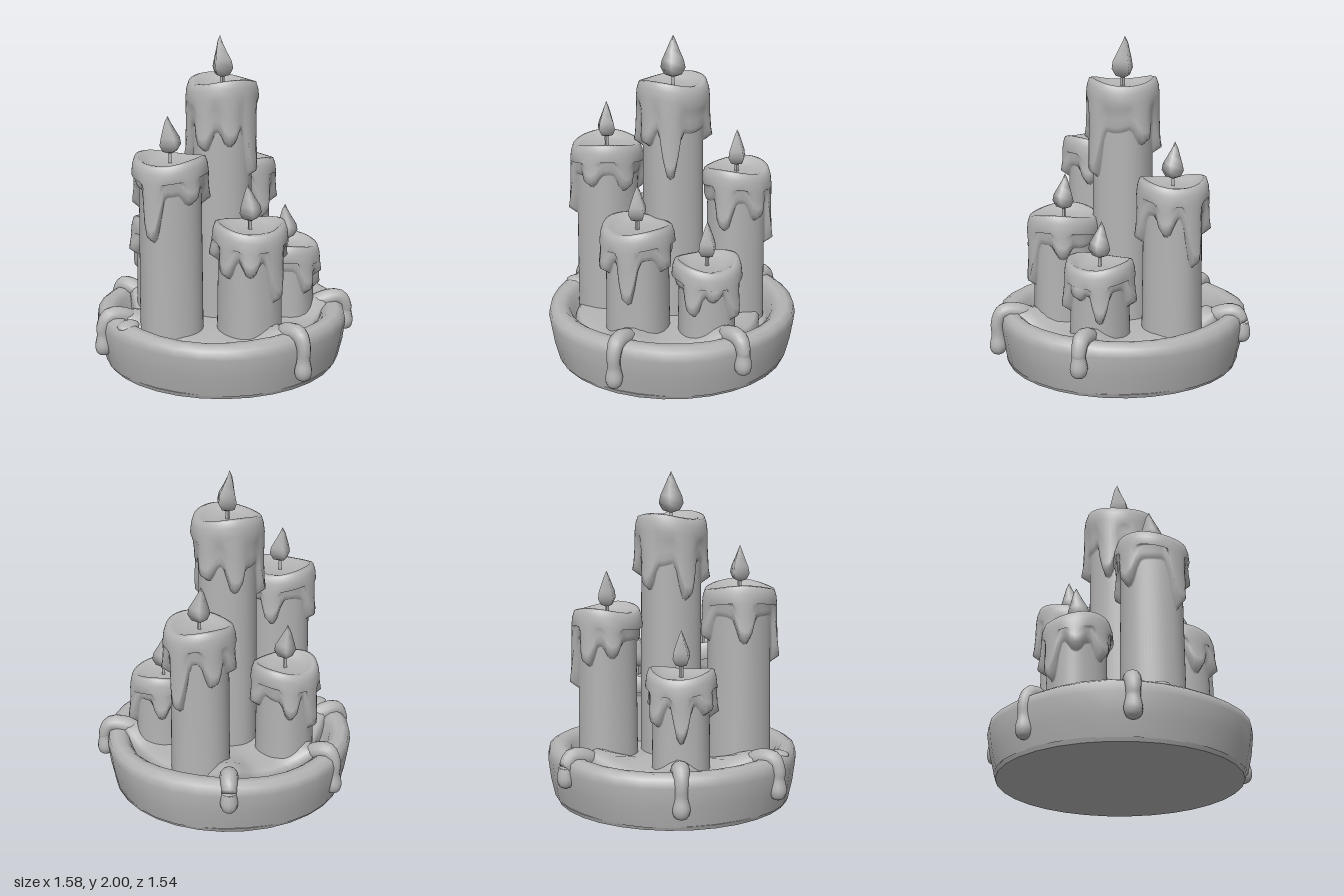
import * as THREE from 'three';

const wax = new THREE.MeshStandardMaterial({ color: 0xb4b4b4 });
wax.name = 'grey wax';
const TAU = Math.PI * 2;

// Smooth surface from closed rings; point(i, a) gives [x, y, z] on ring i at angle a.
function rings(name, rows, sides, point) {
  const pos = [], idx = [];
  for (let i = 0; i < rows; i++)
    for (let j = 0; j < sides; j++) pos.push(...point(i, (j / sides) * TAU));
  for (let i = 0; i < rows - 1; i++)
    for (let j = 0; j < sides; j++) {
      const k = (j + 1) % sides;
      const a = i * sides + j, b = i * sides + k, c = a + sides, d = b + sides;
      idx.push(a, b, c, b, d, c);
    }
  const geo = new THREE.BufferGeometry();
  geo.setAttribute('position', new THREE.Float32BufferAttribute(pos, 3));
  geo.setIndex(idx);
  geo.computeVertexNormals();
  const mesh = new THREE.Mesh(geo, wax);
  mesh.name = name;
  return mesh;
}

const angleGap = (a, b) => Math.abs(Math.atan2(Math.sin(a - b), Math.cos(a - b)));
const bump = (a, at, width, power = 2) => Math.exp(-Math.pow(angleGap(a, at) / width, power));

// Candle body with a thicker melted cap whose hem drops into runs: [degrees, lowest y].
function candleBody({ top, cap, body, hem, runs }, phase) {
  return rings('candleWax', 13, 60, (i, a) => {
    let low = hem + 0.025 * Math.sin(3 * a + phase), drip = 0;
    for (const [deg, y] of runs) {
      const w = bump(a, deg * Math.PI / 180, 0.27, 3);
      low = Math.min(low, hem + (y - hem) * w);
      drip = Math.max(drip, w);
    }
    const rim = top - 0.01 + 0.018 * Math.sin(2 * a + phase);
    const r = body * (1 + 0.02 * Math.sin(4 * a + phase));
    const swell = r + 0.022 + 0.025 * drip;
    const [radius, y] = [
      [0, top - 0.045],
      [cap * 0.5, top - 0.045],
      [cap * 0.72, top - 0.03],
      [cap * 0.84, rim],
      [cap * 0.94, rim - 0.005],
      [cap, rim - 0.045],
      [cap + 0.006, rim - 0.1],
      [(cap + swell) / 2, (rim + low) / 2],
      [swell, low + 0.08],
      [swell + 0.008 * drip, low + 0.035],
      [r + 0.012, low + 0.004],
      [r, low - 0.004],
      [r * 1.04, 0.2],
    ][i];
    return [radius * Math.cos(a), y, radius * Math.sin(a)];
  });
}

// Four-sided flame with a curled tip, standing on a square wick.
function flame(bottom, height, width, turn) {
  const g = new THREE.Group();
  g.name = 'flame';
  const profile = [[0, 0, 0], [0.7, 0.07, 0], [1, 0.24, 0.05], [0.88, 0.42, 0.05],
    [0.55, 0.64, -0.1], [0.26, 0.84, -0.22], [0, 1, -0.2]].reverse();
  g.add(rings('flameTongue', profile.length, 4, (i, a) => {
    const [r, t, lean] = profile[i];
    const b = a + turn + 0.25 * t;
    return [width * (r * Math.cos(b) + lean), bottom + t * height, width * r * Math.sin(b)];
  }));
  const wick = new THREE.Mesh(new THREE.BoxGeometry(0.018, 0.11, 0.018), wax);
  wick.name = 'wick';
  wick.position.y = bottom - 0.025;
  wick.rotation.y = turn;
  g.add(wick);
  return g;
}

// Run of wax over the dish rim; path points are [radius, height, thickness].
function rimDrip(deg, out, end) {
  const a0 = deg * Math.PI / 180;
  const path = new THREE.CatmullRomCurve3([
    [0.5, 0.27, 0.02], [0.62, 0.325, 0.055], [out - 0.04, 0.345, 0.05], [out, 0.28, 0.042],
    [out, end + 0.13, 0.04], [out, end + 0.06, 0.052], [out, end + 0.018, 0.038], [out, end, 0.002],
  ].map(p => new THREE.Vector3(...p)));
  const rows = 29;
  return rings('rimDrip', rows, 12, (i, a) => {
    const p = path.getPoint(i / (rows - 1)), t = path.getTangent(i / (rows - 1));
    const len = Math.hypot(t.x, t.y) || 1;
    const n = p.z * Math.cos(a), s = p.z * Math.sin(a);
    const r = p.x - n * t.y / len, y = p.y + n * t.x / len;
    return [r * Math.cos(a0) - s * Math.sin(a0), y, r * Math.sin(a0) + s * Math.cos(a0)];
  });
}

export function createModel() {
  const model = new THREE.Group();
  model.name = 'candleCluster';

  // Hand-worked dish with a thick rounded rim
  const dish = [[0, 0.16], [0.57, 0.16], [0.61, 0.24], [0.635, 0.305], [0.675, 0.335],
    [0.725, 0.337], [0.762, 0.315], [0.772, 0.26], [0.755, 0.14], [0.727, 0.02]];
  model.add(rings('dish', dish.length, 32, (i, a) => {
    const [r, y] = dish[i];
    const lump = i > 1 ? 0.007 * Math.sin(5 * a + i * 0.4) : 0;
    const lift = i > 2 && i < 7 ? 0.007 * Math.sin(3 * a + 1) : 0;
    return [(r + lump) * Math.cos(a), y + lift, (r + lump) * Math.sin(a)];
  }));
  const foot = new THREE.Mesh(new THREE.CylinderGeometry(0.728, 0.718, 0.025, 32), wax);
  foot.name = 'dishBase';
  foot.position.y = 0.0125;
  model.add(foot);

  // Runs over the rim: [degrees, outward distance, lowest y]
  const spouts = [[21, 0.785, 0.07], [125, 0.775, 0.1], [174, 0.745, 0.07],
    [-127, 0.765, 0.16], [-36, 0.785, 0.13]];
  for (const s of spouts) model.add(rimDrip(...s));

  // Pool of melted wax reaching out to each run
  const pool = [[0, 0.29], [0.5, 0.29], [0.85, 0.28], [0.96, 0.265], [1, 0.235], [1, 0.15]];
  model.add(rings('waxPool', pool.length, 72, (i, a) => {
    let peak = 0;
    for (const [deg] of spouts) peak = Math.max(peak, bump(a, deg * Math.PI / 180, 0.2));
    const [t, y] = pool[i];
    const reach = 0.575 + 0.04 * Math.cos(a - 0.6) + 0.1 * peak;
    const rise = i > 1 && i < 5 ? 0.09 * peak : 0;
    return [t * reach * Math.cos(a), y + rise, t * reach * Math.sin(a)];
  }));

  // Small spill beside the front run
  const spill = new THREE.Mesh(new THREE.SphereGeometry(0.06, 14, 10), wax);
  spill.name = 'waxSpill';
  spill.scale.set(1, 0.5, 1.3);
  spill.position.set(-0.26, 0.325, 0.63);
  model.add(spill);

  const candles = [
    { name: 'centreCandle', x: 0.0, z: -0.01, top: 1.75, cap: 0.215, body: 0.18, hem: 1.47, turn: 0,
      fire: [1.75, 0.25, 0.075], runs: [[0, 1.17], [-90, 1.37], [90, 1.33], [150, 1.24], [-140, 1.3], [45, 1.36]] },
    { name: 'frontCandle', x: -0.1, z: 0.405, top: 1.34, cap: 0.22, body: 0.185, hem: 1.16, turn: 0.5,
      fire: [1.35, 0.22, 0.068], runs: [[85, 0.86], [172, 1.0], [22, 1.08], [-40, 1.05], [-110, 1.0]] },
    { name: 'leftFrontCandle', x: 0.31, z: 0.18, top: 0.945, cap: 0.22, body: 0.185, hem: 0.77, turn: 0.78,
      fire: [0.95, 0.22, 0.066], runs: [[100, 0.64], [145, 0.72], [12, 0.49], [58, 0.66], [-55, 0.68]] },
    { name: 'rightCandle', x: -0.38, z: 0.065, top: 0.865, cap: 0.205, body: 0.17, hem: 0.69, turn: 0.78,
      fire: [0.88, 0.22, 0.066], runs: [[82, 0.58], [178, 0.46], [-135, 0.55], [-60, 0.6], [130, 0.62]] },
    { name: 'leftBackCandle', x: 0.33, z: -0.235, top: 0.735, cap: 0.205, body: 0.17, hem: 0.58, turn: 0.78,
      fire: [0.74, 0.22, 0.066], runs: [[22, 0.43], [-55, 0.39], [-15, 0.52], [-125, 0.46]] },
    { name: 'backCandle', x: -0.085, z: -0.395, top: 1.195, cap: 0.21, body: 0.175, hem: 1.0, turn: 0.78,
      fire: [1.19, 0.22, 0.066], runs: [[-90, 0.69], [-40, 0.88], [20, 0.82], [-150, 0.85], [165, 0.9]] },
  ];
  candles.forEach((c, n) => {
    const g = new THREE.Group();
    g.name = c.name;
    g.add(candleBody(c, n * 1.3 + 0.5), flame(...c.fire, c.turn));
    g.position.set(c.x, 0, c.z);
    model.add(g);
  });
  return model;
}
